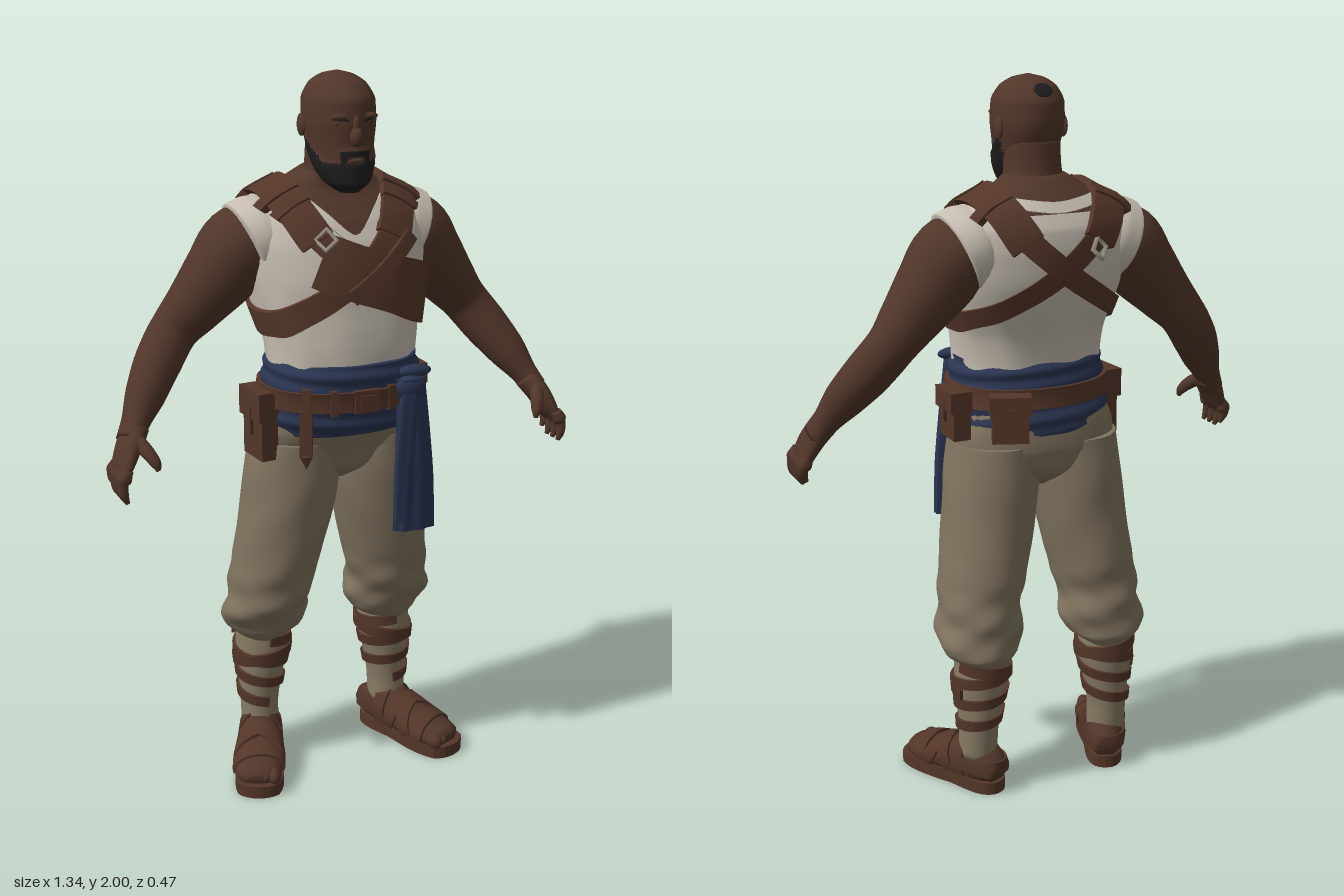
import * as THREE from 'three';
import { toCreasedNormals } from 'three/addons/utils/BufferGeometryUtils.js';

const V = (x, y, z) => new THREE.Vector3(x, y, z);
const mat = (name, color) => { const m = new THREE.MeshStandardMaterial({ color }); m.name = name; return m; };

export function createModel() {
  const model = new THREE.Group();
  const skin = mat('skin', 0x513629), leather = mat('leather', 0x543628), cloth = mat('shirt cloth', 0xc6beb1),
    trouser = mat('trouser cloth', 0x80735e), wrapCloth = mat('leg wrap cloth', 0x887b64), blue = mat('sash cloth', 0x2b3552),
    hair = mat('hair', 0x1f1d1d), metal = mat('metal', 0x9c968a);

  const add = (name, geo, material, parent = model) => {
    const m = new THREE.Mesh(geo, material);
    m.name = name;
    parent.add(m);
    return m;
  };

  // Skin a list of rings (each turning counter-clockwise about the path), with end caps
  function skinRings(rings) {
    const n = rings[0].length, pos = [], idx = [];
    rings.forEach(r => r.forEach(p => pos.push(p.x, p.y, p.z)));
    for (let i = 0; i < rings.length - 1; i++) for (let j = 0; j < n; j++) {
      const a = i * n + j, b = i * n + (j + 1) % n;
      idx.push(a, b, b + n, a, b + n, a + n);
    }
    [0, rings.length - 1].forEach((k, end) => {
      const c = rings[k].reduce((s, p) => s.add(p), V(0, 0, 0)).divideScalar(n), ci = pos.length / 3;
      pos.push(c.x, c.y, c.z);
      for (let j = 0; j < n; j++) {
        const a = k * n + j, b = k * n + (j + 1) % n;
        end ? idx.push(ci, a, b) : idx.push(ci, b, a);
      }
    });
    const g = new THREE.BufferGeometry();
    g.setAttribute('position', new THREE.Float32BufferAttribute(pos, 3));
    g.setIndex(idx);
    g.computeVertexNormals();
    return g;
  }

  // Smooth loft through stations [x, y, z, width radius, depth radius];
  // level keeps every ring horizontal, otherwise rings follow the path
  function loft(st, { seg = 24, sub = 5, level = true, hint = V(0, 0, 1), p = 2, bump = null } = {}) {
    const path = new THREE.CatmullRomCurve3(st.map(s => V(s[0], s[1], s[2])));
    const rad = new THREE.CatmullRomCurve3(st.map(s => V(s[3], s[4], 0)));
    const N = (st.length - 1) * sub, rings = [];
    const pw = v => Math.sign(v) * Math.pow(Math.abs(v), 2 / p);
    for (let i = 0; i <= N; i++) {
      const c = path.getPoint(i / N), r = rad.getPoint(i / N);
      const t = level ? V(0, 1, 0) : path.getTangent(i / N);
      const a = hint.clone().addScaledVector(t, -hint.dot(t)).normalize(), b = t.clone().cross(a);
      rings.push(Array.from({ length: seg }, (_, j) => {
        const w = j / seg * Math.PI * 2, k = bump ? 1 + bump(w, c.y) : 1;
        return c.clone().addScaledVector(a, Math.max(r.y, .001) * k * pw(Math.cos(w)))
          .addScaledVector(b, Math.max(r.x, .001) * k * pw(Math.sin(w)));
      }));
    }
    return skinRings(rings);
  }

  // Sort triangles into material groups by a rule on their centre
  function paint(geo, rule) {
    const ix = geo.index.array, P = geo.attributes.position, sets = [[], []];
    for (let i = 0; i < ix.length; i += 3) {
      const c = V(0, 0, 0);
      for (let k = 0; k < 3; k++) c.add(V(0, 0, 0).fromBufferAttribute(P, ix[i + k]));
      sets[rule(c.divideScalar(3)) ? 1 : 0].push(ix[i], ix[i + 1], ix[i + 2]);
    }
    geo.setIndex(sets.flat());
    geo.addGroup(0, sets[0].length, 0);
    geo.addGroup(sets[0].length, sets[1].length, 1);
    return geo;
  }

  // Drop a point onto a mesh, towards a centre
  const ray = new THREE.Raycaster();
  function project(target, q, center) {
    const c = center(q), d = q.clone().sub(c).normalize();
    ray.set(c.clone().addScaledVector(d, 1), d.clone().negate());
    const hit = ray.intersectObject(target, false)[0];
    return { p: hit ? hit.point : q.clone(), d };
  }

  // A strap that hugs a mesh along a path
  function strap(name, target, pts, center, width, thick, material, parent = model, n = 48, closed = false) {
    const curve = new THREE.CatmullRomCurve3(pts.map(a => V(...a)), closed), rings = [];
    for (let i = 0; i <= n; i++) {
      const p = curve.getPointAt(i / n), t = curve.getTangentAt(i / n);
      const w = t.clone().cross(p.clone().sub(center(p)).normalize()).normalize();
      const e = [-1, 0, 1].map(s => project(target, p.clone().addScaledVector(w, s * width / 2), center));
      const at = (k, h) => e[k].p.clone().addScaledVector(e[k].d, h);
      rings.push([at(0, thick), at(1, thick), at(2, thick), at(2, -.01), at(0, -.01)]);
    }
    return add(name, toCreasedNormals(skinRings(rings), .7), material, parent);
  }
  const box = (name, size, at, material, rot = [0, 0, 0], parent = model) => {
    const m = add(name, new THREE.BoxGeometry(...size), material, parent);
    m.position.set(...at);
    m.rotation.set(...rot);
    return m;
  };
  const ball = (name, r, at, material, parent = model) => {
    const m = add(name, new THREE.SphereGeometry(1, 20, 14), material, parent);
    m.scale.set(...r);
    m.position.set(...at);
    return m;
  };

  // Torso: sleeveless shirt with an open V neck
  const torso = add('torso', paint(loft([
    [0, 1.18, .03, .205, .16], [0, 1.25, .03, .207, .163], [0, 1.32, .022, .215, .168], [0, 1.4, 0, .235, .18],
    [0, 1.48, -.018, .25, .19], [0, 1.56, -.033, .26, .182], [0, 1.62, -.046, .256, .162], [0, 1.665, -.052, .225, .132],
    [0, 1.7, -.05, .15, .105], [0, 1.745, -.03, .08, .08]], { seg: 72, sub: 7, p: 2.3,
    bump: (w, y) => y < 1.45 ? .016 * Math.sin(9 * w + y * 12) * Math.min(1, (1.45 - y) * 8) : 0 }),
  c => c.z > -.03 ? c.y > 1.575 + Math.abs(c.x) * .75 && Math.abs(c.x) < .14 : c.y > 1.66 && Math.abs(c.x) < .14), [cloth, skin]);
  const chest = () => V(0, 1.5, -.03);
  strap('neckline', torso, [[-.14, 1.68, -.04], [-.08, 1.635, .08], [0, 1.575, .14], [.08, 1.635, .08], [.14, 1.68, -.04]],
    chest, .022, .006, cloth);
  strap('backNeckline', torso, [[-.14, 1.68, -.05], [-.11, 1.67, -.13], [0, 1.663, -.17], [.11, 1.67, -.13], [.14, 1.68, -.05]],
    chest, .03, .004, cloth);

  // Harness crossing on the chest and the back
  for (const s of [1, -1]) {
    strap('crossStrap', torso, [[.16 * s, 1.71, -.05], [.13 * s, 1.62, .1], [0, 1.49, .17], [-.13 * s, 1.41, .15], [-.22 * s, 1.36, .05],
      [-.24 * s, 1.36, -.08], [-.15 * s, 1.41, -.18], [0, 1.51, -.22], [.12 * s, 1.62, -.18]], chest, .06, s > 0 ? .013 : .009, leather, model, 90, true);
    strap('shoulderPad', torso, [[.1 * s, 1.575, .13], [.14 * s, 1.65, .07], [.165 * s, 1.7, -.05], [.14 * s, 1.66, -.16], [.095 * s, 1.58, -.2]],
      chest, .088, .018, leather);
    for (const z of [.07, .02, -.13])
      strap('padBand', torso, [[.11 * s, 1.69, z], [.15 * s, 1.67, z], [.195 * s, 1.63, z]], chest, .024, .024, leather, model, 12);
  }
  strap('chestPanel', torso, [[-.1, 1.535, .15], [0, 1.495, .17], [.1, 1.46, .16], [.2, 1.42, .09]], chest, .14, .017, leather);
  strap('panelStrap', torso, [[-.03, 1.44, .17], [.06, 1.5, .17], [.15, 1.57, .12]], chest, .035, .024, leather);
  for (const [x, y, z] of [[-.08, 1.575, .13], [-.085, 1.56, -.2]]) {
    const b = project(torso, V(x, y, z), chest);
    const buckle = add('harnessBuckle', new THREE.TorusGeometry(.028, .007, 6, 4), metal);
    buckle.position.copy(b.p).addScaledVector(b.d, .018);
    buckle.lookAt(b.p.clone().addScaledVector(b.d, 1));
  }

  // Neck and head; the beard is the swollen lower jaw
  add('neck', loft([[0, 1.62, -.04, .11, .1], [0, 1.7, -.025, .088, .086], [0, 1.76, -.012, .078, .08], [0, 1.84, 0, .078, .085]]), skin);
  const isBeard = c => c.z > 0 && c.y < Math.max(1.775, 1.845 - .75 * c.z) ||
    c.z > .1 && Math.abs(c.x) < .042 && c.y > (Math.abs(c.x) > .026 ? 1.76 : 1.791) && c.y < 1.808;
  const headGeo = loft([[0, 1.695, .085, .025, .03], [0, 1.72, .07, .058, .07], [0, 1.76, .05, .077, .09], [0, 1.82, .028, .088, .108],
    [0, 1.88, .02, .095, .12], [0, 1.93, .018, .093, .118], [0, 1.97, .014, .072, .09], [0, 1.99, .012, .042, .053], [0, 2, .012, .003, .003]],
  { seg: 64, sub: 9 });
  const hp = headGeo.attributes.position;
  for (let i = 0; i < hp.count; i++) {
    const v = V(0, 0, 0).fromBufferAttribute(hp, i);
    if (isBeard(v)) hp.setXYZ(i, v.x * 1.05, v.y, v.z + .004);
  }
  headGeo.computeVertexNormals();
  const head = add('head', paint(headGeo, isBeard), [skin, hair]);
  ball('nose', [.018, .026, .02], [0, 1.843, .14], skin);
  ball('noseBridge', [.011, .03, .014], [0, 1.87, .135], skin);
  ball('lowerLip', [.022, .006, .008], [0, 1.782, .14], skin);
  for (const s of [1, -1]) {
    ball('brow', [.03, .01, .011], [.036 * s, 1.893, .125], skin);
    box('eyebrow', [.036, .005, .008], [.037 * s, 1.887, .133], hair, [0, .4 * s, .15 * s]);
    box('eye', [.024, .006, .006], [.037 * s, 1.873, .126], hair, [0, .4 * s, 0]);
    ball('ear', [.01, .03, .022], [.094 * s, 1.862, -.005], skin);
  }
  const crown = project(head, V(0, 1.96, -.075), () => V(0, 1.88, .02));
  const patch = ball('hairPatch', [.026, .022, .004], crown.p.toArray(), hair);
  patch.lookAt(crown.p.clone().add(crown.d));

  // Arms and hands
  for (const s of [1, -1]) {
    const limb = (name, st, m, o) => add(name, loft(st.map(a => [a[0] * s, ...a.slice(1)]), { level: false, ...o }), m);
    limb('armhole', [[.16, 1.585, -.05, .1, .115], [.2, 1.567, -.05, .115, .128], [.238, 1.55, -.05, .117, .127], [.245, 1.547, -.05, .1, .11]], cloth);
    limb('arm', [[.18, 1.58, -.05, .09, .1], [.25, 1.54, -.055, .112, .113], [.31, 1.47, -.06, .101, .098], [.38, 1.39, -.068, .081, .077],
      [.437, 1.325, -.076, .067, .062], [.49, 1.255, -.05, .065, .061], [.544, 1.178, -.005, .055, .052], [.586, 1.112, .03, .037, .042],
      [.608, 1.075, .05, .034, .046]], skin);
    limb('palm', [[.585, 1.105, .035, .034, .04], [.615, 1.06, .06, .03, .055], [.637, 1.015, .075, .023, .058], [.645, .992, .08, .014, .05]], skin);
    for (let k = 0; k < 4; k++) {
      const z = .032 + .031 * k, d = k === 0 ? .015 : 0;
      limb('finger', [[.637, 1.02, z, .015, .015], [.653, .985, z + .002, .015, .015], [.652, .955 + d, z + .006, .013, .013],
        [.643, .933 + d, z + .008, .006, .006]], skin, { seg: 10 });
    }
    limb('thumb', [[.6, 1.085, .075, .022, .022], [.58, 1.06, .115, .019, .019], [.566, 1.035, .138, .015, .015], [.56, 1.015, .145, .006, .006]], skin, { seg: 10 });
  }

  // Trousers
  add('hips', loft([[0, .885, -.018, .02, .06], [0, .93, -.016, .1, .125], [0, 1, -.01, .235, .148], [0, 1.05, .003, .236, .158], [0, 1.12, .015, .21, .155]], { seg: 40, p: 2.4 }), trouser);
  for (const s of [1, -1]) {
    add('trouserLeg', toCreasedNormals(loft([[.195, .395, -.09, .07, .08], [.192, .425, -.088, .108, .1], [.19, .485, -.068, .12, .122], [.183, .56, -.05, .117, .13],
      [.166, .65, -.04, .123, .14], [.14, .8, -.022, .13, .146], [.128, .9, -.015, .132, .15], [.122, 1.02, -.008, .12, .148]].map(a => [a[0] * s, ...a.slice(1)]),
    { seg: 40, sub: 7, bump: (w, y) => {
      const k = Math.min(1, Math.max(0, .66 - y) * 7);
      return k * (.05 * Math.sin(2 * w * s + y * 50) + .02 * Math.sin(5 * w * s - y * 60)) + .008 * Math.sin(4 * w * s + y * 30);
    } }), .5), trouser);

    // Wrapped shin with spiral straps
    const shin = add('shin', loft([[.205, .1, -.085, .054, .06], [.205, .18, -.09, .055, .063], [.2, .28, -.09, .067, .075], [.195, .36, -.09, .077, .082],
      [.195, .43, -.09, .075, .08]].map(a => [a[0] * s, ...a.slice(1)])), wrapCloth);
    const axis = q => V(.2 * s, q.y, -.09);
    const spiral = (turns, y0, y1, dir, from) => Array.from({ length: turns * 8 + 1 }, (_, i) => {
      const w = from + dir * i / 8 * Math.PI * 2;
      return [.2 * s + .1 * Math.sin(w) * s, y0 + (y1 - y0) * i / (turns * 8), -.09 + .1 * Math.cos(w)];
    });
    strap('shinWrap', shin, spiral(3, .19, .39, 1, 0), axis, .03, .009, leather, model, 90);
    strap('shinCrossWrap', shin, spiral(1, .31, .4, -1, 2), axis, .034, .012, leather, model, 36);

    // Sandalled foot
    const foot = new THREE.Group();
    foot.name = 'foot';
    foot.position.set(.203 * s, 0, -.085);
    foot.rotation.y = .4 * s;
    model.add(foot);
    const outline = new THREE.Shape();
    outline.moveTo(0, .085);
    outline.bezierCurveTo(.06, .085, .054, 0, .056, -.06);
    outline.bezierCurveTo(.066, -.12, .084, -.2, .06, -.255);
    outline.bezierCurveTo(.03, -.285, -.03, -.285, -.058, -.25);
    outline.bezierCurveTo(-.08, -.18, -.06, -.12, -.054, -.06);
    outline.bezierCurveTo(-.054, 0, -.06, .085, 0, .085);
    const slab = new THREE.ExtrudeGeometry(outline, { depth: .036, bevelEnabled: false, curveSegments: 8 });
    slab.rotateX(-Math.PI / 2);
    add('sole', slab, leather, foot);
    const instep = add('instep', loft([[0, .062, -.08, .035, .035], [0, .072, -.05, .05, .055], [0, .08, .0, .057, .08], [0, .07, .07, .061, .064],
      [0, .058, .14, .068, .05], [0, .05, .2, .068, .04], [0, .048, .24, .055, .03], [0, .045, .257, .03, .015]], { level: false, hint: V(0, 1, 0) }), skin, foot);
    for (let k = 0; k < 5; k++) {
      const big = k === 0 ? 1.35 : 1 - k * .04;
      ball('toe', [.014 * big, .018 * big, .028], [(-.047 + k * .0245) * s, .05, .238 - k * k * .002], skin, foot);
    }
    const core = q => V(0, .04, q.z);
    const arch = (za, zb) => [[-.09, .04, za], [-.06, .1, za * .7 + zb * .3], [0, .15, (za + zb) / 2], [.06, .1, za * .3 + zb * .7], [.09, .04, zb]];
    [[.19, .17], [.06, .15], [.15, .06], [.03, .03]].forEach(([a, b]) => strap('sandalStrap', instep, arch(a, b), core, .04, .008, leather, foot, 24));
    strap('heelStrap', instep, [[-.08, .08, .04], [-.07, .08, -.05], [0, .08, -.1], [.07, .08, -.05], [.08, .08, .04]], () => V(0, .08, -.01), .05, .007, leather, foot, 24);
  }

  // Sash with gathered folds, knot and hanging tails
  const sash = add('sash', loft([[0, 1.05, .012, .215, .165], [0, 1.08, .018, .228, .176], [0, 1.15, .03, .222, .174], [0, 1.22, .036, .216, .176], [0, 1.25, .036, .205, .168]],
    { seg: 56, sub: 9, p: 2.2, bump: (w, y) => .018 * Math.sin(y * 140 + 2 * Math.sin(w + .6)) }), blue);
  add('sashTail', toCreasedNormals(loft([[.167, .75, .168, .058, .022], [.162, .9, .176, .054, .023], [.15, 1.05, .188, .046, .022], [.135, 1.2, .2, .038, .02]],
    { seg: 40, bump: w => .12 * Math.sin(7 * w) }), .5), blue);
  add('sashTailFront', toCreasedNormals(loft([[.124, .785, .184, .026, .014], [.126, .95, .192, .03, .016], [.13, 1.12, .206, .03, .017], [.13, 1.2, .21, .02, .012]],
    { seg: 32, bump: w => .1 * Math.sin(5 * w) }), .5), blue);
  ball('knot', [.045, .035, .026], [.135, 1.175, .2], blue);
  ball('knotLoop', [.05, .018, .02], [.15, 1.215, .19], blue);

  // Belt with plates
  const ringPts = (y, r) => Array.from({ length: 16 }, (_, i) => [r * Math.sin(i * Math.PI / 8), y, .03 + r * Math.cos(i * Math.PI / 8)]);
  strap('belt', sash, ringPts(1.155, .22), q => V(0, q.y, .03), .055, .011, leather, model, 72, true);
  box('beltBuckle', [.07, .062, .014], [0, 1.155, .214], leather);
  box('bucklePlate', [.04, .035, .008], [0, 1.155, .222], leather);
  for (const x of [-.09, .075]) box('beltLoop', [.02, .068, .016], [x, 1.155, .203], leather, [0, x * 2, 0]);

  // Pouches with flaps, and a sheathed knife
  const pouch = (at, [w, h, d], ry) => {
    const g = new THREE.Group();
    g.name = 'pouch';
    g.position.set(...at);
    g.rotation.y = ry;
    model.add(g);
    box('pouchBody', [w, h, d], [0, 0, 0], leather, [0, 0, 0], g);
    box('pouchFlap', [w + .012, h * .42, d + .012], [0, h * .3, .004], leather, [0, 0, 0], g);
    box('pouchTab', [w * .2, h * .4, .01], [0, h * .05, d / 2 + .008], leather, [0, 0, 0], g);
  };
  pouch([.238, 1.11, -.03], [.1, .135, .05], Math.PI / 2);
  pouch([.125, 1.11, -.143], [.1, .13, .055], Math.PI - .35);
  pouch([-.236, 1.075, .04], [.11, .19, .05], -Math.PI / 2 + .1);
  box('knifeSheath', [.034, .13, .018], [-.158, 1.07, .172], leather, [0, -.5, 0]);
  box('knifeHandle', [.022, .07, .02], [-.158, 1.16, .177], leather, [0, -.5, 0]);
  const tip = add('sheathTip', new THREE.ConeGeometry(.02, .04, 8), leather);
  tip.position.set(-.158, .99, .172);
  tip.rotation.x = Math.PI;
  return model;
}
